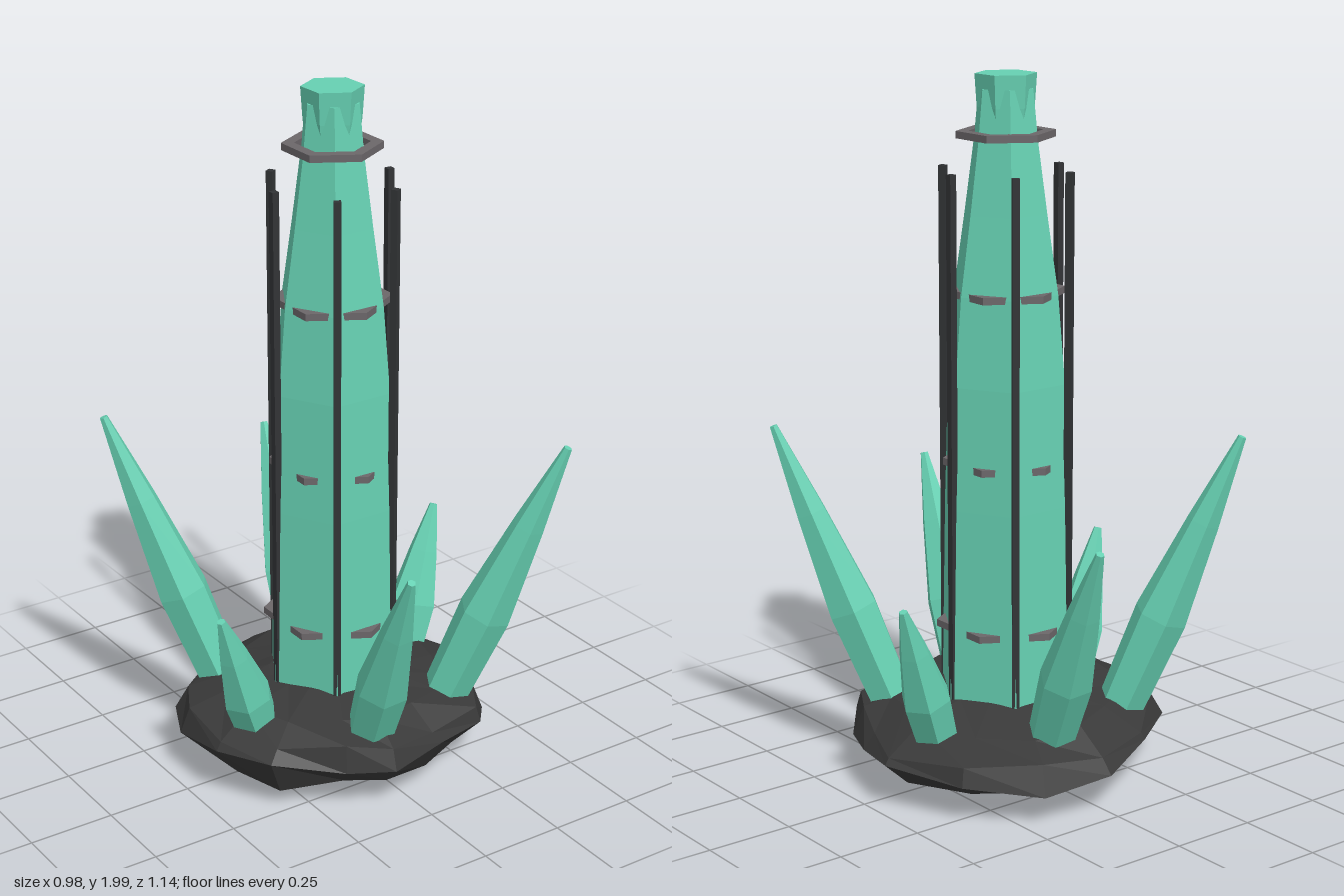
import * as THREE from 'three';

const V = (x, y, z) => new THREE.Vector3(x, y, z);

// Faceted solid through a stack of rings (bottom to top), closed at both ends
function loft(rings) {
  const pos = [];
  const tri = (...p) => p.forEach(v => pos.push(v.x, v.y, v.z));
  const n = rings[0].length;
  const mid = ring => ring.reduce((s, v) => s.add(v), V(0, 0, 0)).divideScalar(n);
  const top = rings[rings.length - 1];
  const c0 = mid(rings[0]), c1 = mid(top);
  for (let j = 0; j < n; j++) {
    const k = (j + 1) % n;
    for (let i = 0; i < rings.length - 1; i++) {
      const a = rings[i][j], b = rings[i][k], c = rings[i + 1][k], d = rings[i + 1][j];
      tri(a, d, c);
      tri(a, c, b);
    }
    tri(c0, rings[0][j], rings[0][k]);
    tri(c1, top[k], top[j]);
  }
  const g = new THREE.BufferGeometry();
  g.setAttribute('position', new THREE.Float32BufferAttribute(pos, 3));
  g.computeVertexNormals();
  return g;
}

// Six-sided ring at a height
function hex(r, y, turn = 0) {
  return Array.from({ length: 6 }, (_, i) => {
    const a = i * Math.PI / 3 + turn;
    return V(r * Math.cos(a), y, r * Math.sin(a));
  });
}

export function createModel() {
  const group = new THREE.Group();
  const material = (name, color) => {
    const m = new THREE.MeshStandardMaterial({ color });
    m.name = name;
    return m;
  };
  const crystal = material('green crystal', 0x66d0b2);
  const rock = material('dark rock', 0x393939);
  const iron = material('dark iron', 0x323436);
  const steel = material('grey steel', 0x6c676a);
  const add = (name, geometry, mat) => {
    const m = new THREE.Mesh(geometry, mat);
    m.name = name;
    group.add(m);
    return m;
  };

  // Rock: an uneven outline, scaled for each layer
  const outline = [[0.47, -0.06], [0.43, 0.1], [0.37, 0.24], [0.28, 0.35], [0.1, 0.41], [-0.08, 0.44],
    [-0.2, 0.37], [-0.38, 0.26], [-0.46, 0.1], [-0.46, -0.1], [-0.4, -0.23], [-0.2, -0.38],
    [0, -0.47], [0.2, -0.43], [0.37, -0.28]];
  const layers = [[0.2, 0.008, 0], [0.55, 0.03, 0.008], [0.84, 0.07, 0.012], [1, 0.135, 0.02],
    [0.94, 0.185, 0.015], [0.72, 0.232, 0.008], [0.4, 0.26, 0.004]];
  add('rockBase', loft(layers.map(([s, y, rough], i) => outline.map(([x, z], j) => {
    const wobble = Math.sin(j * 2.3 + i * 1.9);
    const k = s * (i === 3 ? 1 : 1 + 0.035 * wobble);
    return V(x * k, Math.max(0, y + rough * Math.sin(j * 1.7 + i * 2.6) + 0.04 * s * (z - x) * (i > 2)), z * k);
  }))), rock);

  // Main spire and its turned cap
  const spire = [[0.2, 0.18], [0.188, 0.8], [0.176, 1.15], [0.155, 1.4], [0.122, 1.62], [0.094, 1.82], [0.08, 1.96]];
  add('spire', loft(spire.map(([r, y]) => hex(r, y))), crystal);
  add('spireCap', loft([hex(0.07, 1.84, 0.5), hex(0.08, 1.91, 0.5), hex(0.086, 2, 0.5)]), crystal);

  // Upright rods at the corners of the spire
  for (let i = 0; i < 6; i++) {
    const a = i * Math.PI / 3;
    const rod = add('rod', new THREE.BoxGeometry(0.02, 1.56, 0.02), iron);
    rod.position.set(0.187 * Math.cos(a), 0.96, 0.187 * Math.sin(a));
    rod.rotation.y = -a;
  }

  // Hexagonal bands whose corners break through the spire faces
  for (const [y, r] of [[0.445, 0.198], [0.92, 0.178], [1.4, 0.165], [1.835, 0.138]]) {
    const q = r - 0.035, h = 0.01;
    const profile = [[r, -h], [r, h], [q, h], [q, -h], [r, -h]].map(p => new THREE.Vector2(...p));
    const g = new THREE.LatheGeometry(profile, 6).toNonIndexed();
    g.computeVertexNormals();
    add('band', g, steel).position.y = y;
  }

  // Leaning shards, in pairs turned half way round: base, tip, radius
  const shards = [
    [V(0.235, 0.17, 0.215), V(0.48, 1, 0.453), 0.078],
    [V(-0.07, 0.16, 0.28), V(-0.125, 0.8, 0.56), 0.077],
    [V(0.3, 0.16, -0.08), V(0.462, 0.6, -0.142), 0.073],
  ];
  for (const [base, tip, r] of shards) {
    const axis = tip.clone().sub(base), L = axis.length();
    const g = loft([hex(r * 0.85, -0.02), hex(r, L * 0.36), hex(r * 0.6, L * 0.7), hex(0.012, L)]);
    for (const side of [1, -1]) {
      const flip = V(side, 1, side);
      const shard = add('shard', g, crystal);
      shard.position.copy(base).multiply(flip);
      shard.quaternion.setFromUnitVectors(V(0, 1, 0), axis.clone().multiply(flip).normalize());
    }
  }
  return group;
}
